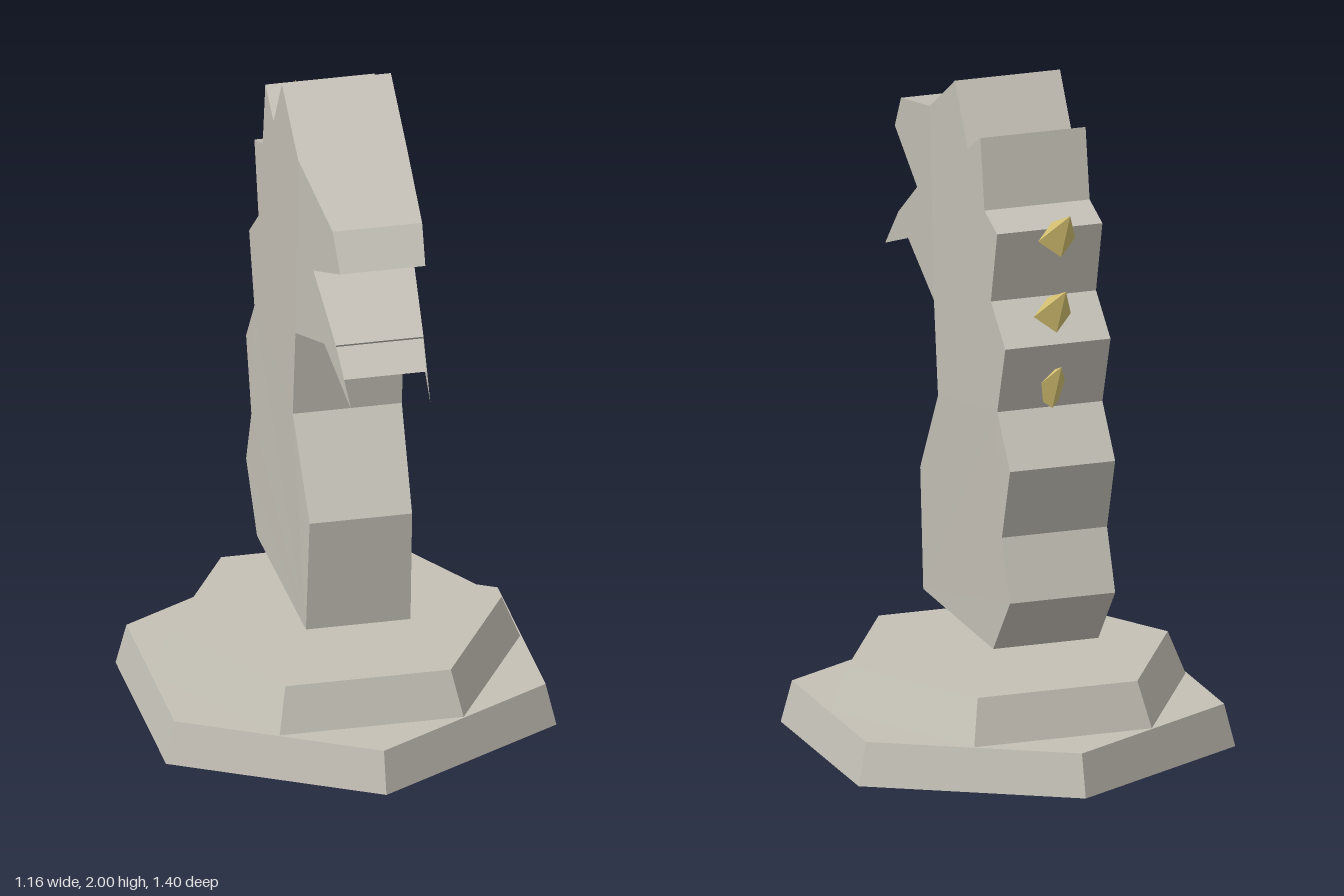
import * as THREE from 'three';

const HALF = 0.162;
// Half width of the carving: straight, narrowing toward the muzzle
const halfWidth = (z) => HALF - 0.088 * Math.max(0, z - 0.19);

export function createModel() {
  const model = new THREE.Group();
  model.name = 'chessKnight';
  const stone = new THREE.MeshStandardMaterial({ color: 0xc4c0b6, flatShading: true });
  stone.name = 'paleStone';
  const stoneThin = new THREE.MeshStandardMaterial({ color: 0xc4c0b6, flatShading: true, side: THREE.DoubleSide });
  stoneThin.name = 'paleStoneThin';
  const gold = new THREE.MeshStandardMaterial({ color: 0xd6c272, flatShading: true });
  gold.name = 'gold';

  const add = (name, geometry, material) => {
    const mesh = new THREE.Mesh(geometry, material);
    mesh.name = name;
    model.add(mesh);
    return mesh;
  };

  // Two hexagonal tiers, the upper one turned by thirty degrees
  const tier = (name, top, bottom, y0, y1, turn) => {
    const mesh = add(name, new THREE.CylinderGeometry(top, bottom, y1 - y0, 6), stone);
    mesh.position.set(0, (y0 + y1) / 2, -0.03);
    mesh.rotation.y = turn;
  };
  tier('lowerBase', 0.637, 0.67, 0, 0.127, 0);
  tier('upperBase', 0.492, 0.547, 0.127, 0.26, Math.PI / 6);

  // Floating horse body: side profile (z, y), extruded across x
  const profile = [
    [0.265, 0.37], [0.3, 0.73], [0.12, 1.0], [0.155, 1.28], [0.53, 1.415], [0.55, 1.43],
    [0.335, 1.57], [0.59, 1.68], [0.52, 1.785], [0.19, 1.86], [-0.025, 2.0],
    [-0.135, 1.825], [-0.245, 1.89], [-0.28, 1.68], [-0.39, 1.64], [-0.335, 1.42],
    [-0.46, 1.31], [-0.39, 1.1], [-0.5, 0.95], [-0.43, 0.73], [-0.5, 0.55], [-0.355, 0.37],
  ];
  const shape = new THREE.Shape(profile.map(([z, y]) => new THREE.Vector2(z, y)));
  const body = new THREE.ExtrudeGeometry(shape, { depth: 2 * HALF, bevelEnabled: false });
  body.translate(0, 0, -HALF).rotateY(-Math.PI / 2);
  const p = body.attributes.position;
  for (let i = 0; i < p.count; i++) p.setX(i, Math.sign(p.getX(i)) * halfWidth(p.getZ(i)));
  body.computeVertexNormals();
  add('horseBody', body, stone);

  // Thin polygon from corner points
  const sheet = (name, points) => {
    const geometry = new THREE.BufferGeometry().setFromPoints(points);
    geometry.setIndex(points.length === 4 ? [0, 1, 2, 0, 2, 3] : [0, 1, 2]);
    geometry.computeVertexNormals();
    add(name, geometry, stoneThin);
  };
  const edge = (side, y, z) => new THREE.Vector3(side * halfWidth(z), y, z);

  // Lip under the jaw and a pointed fang on each side of it
  sheet('lowerLip', [edge(-1, 1.42, 0.54), edge(-1, 1.352, 0.62), edge(1, 1.352, 0.62), edge(1, 1.42, 0.54)]);
  for (const side of [-1, 1]) {
    sheet(side > 0 ? 'leftFang' : 'rightFang',
      [edge(side, 1.43, 0.55), edge(side, 1.29, 0.7), edge(side, 1.383, 0.44)]);
  }

  // Row of golden mane spikes, sinking into the neck further down
  for (let i = 0; i < 4; i++) {
    const spike = add('maneSpike' + (i + 1), new THREE.ConeGeometry(0.057, 0.158, 4), gold);
    spike.position.set(0, 1.677 - 0.24 * i, -0.507 + 0.037 * i);
    spike.rotation.x = -0.84;
  }
  return model;
}
